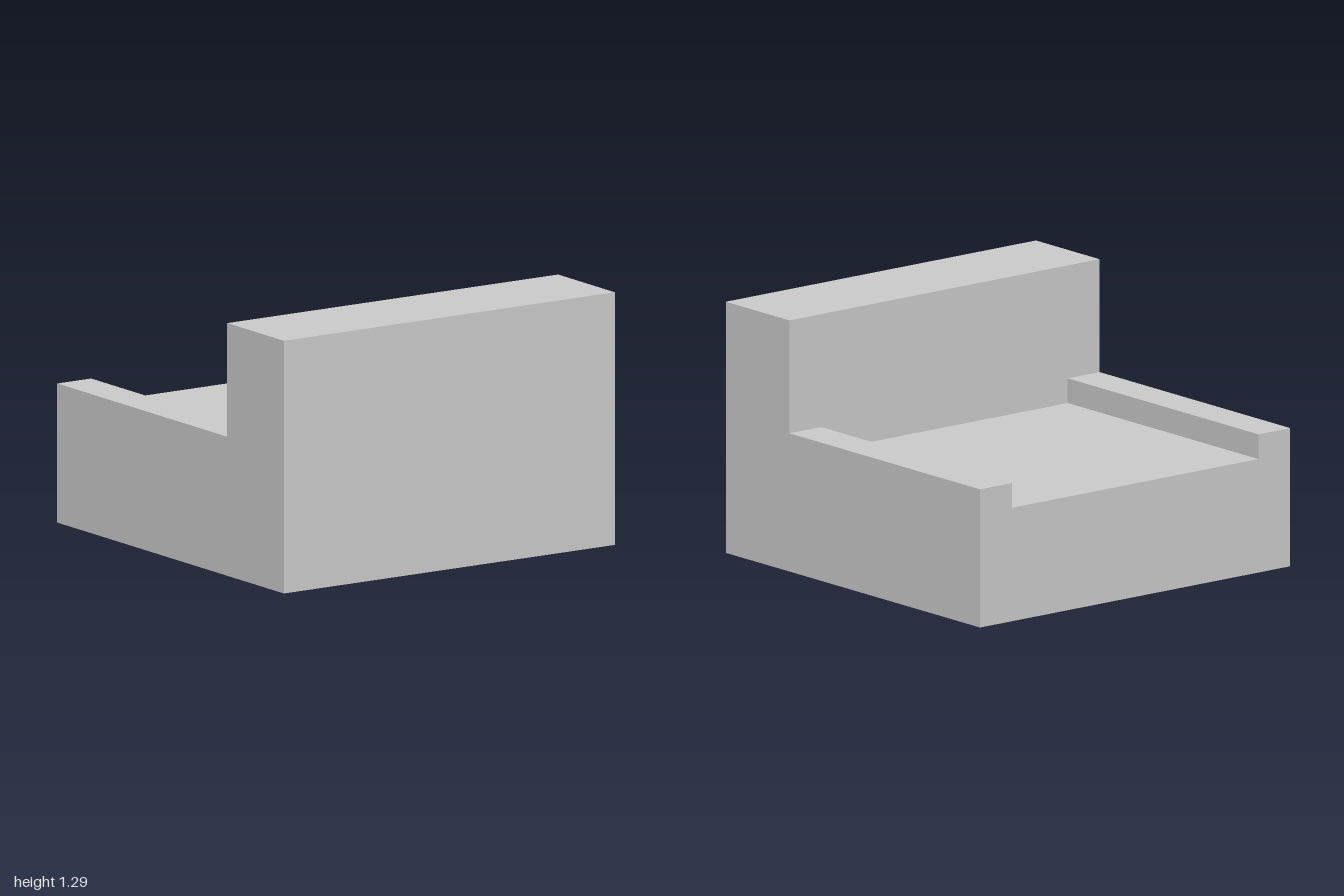
import * as THREE from 'three';

export function createModel() {
  const model = new THREE.Group();
  const material = new THREE.MeshStandardMaterial({ color: 0xcccccc, flatShading: true });

  // Adds a box spanning the given minimum and maximum corners
  function addBox(name, min, max) {
    const [w, h, d] = max.map((v, i) => v - min[i]);
    const mesh = new THREE.Mesh(new THREE.BoxGeometry(w, h, d), material);
    mesh.position.set(min[0] + w / 2, min[1] + h / 2, min[2] + d / 2);
    mesh.name = name;
    model.add(mesh);
  }

  const seatTop = 0.583, armTop = 0.71, backTop = 1.29;
  const armInner = 0.795, backFace = 0.5;

  // Solid seat block
  addBox('seatBase', [-1, 0, -1], [1, seatTop, 1]);

  // Thick full-width backrest
  addBox('backrest', [-1, seatTop, backFace], [1, backTop, 1]);

  // Low armrests along both sides
  addBox('leftArmrest', [armInner, seatTop, -1], [1, armTop, backFace]);
  addBox('rightArmrest', [-1, seatTop, -1], [-armInner, armTop, backFace]);

  return model;
}
